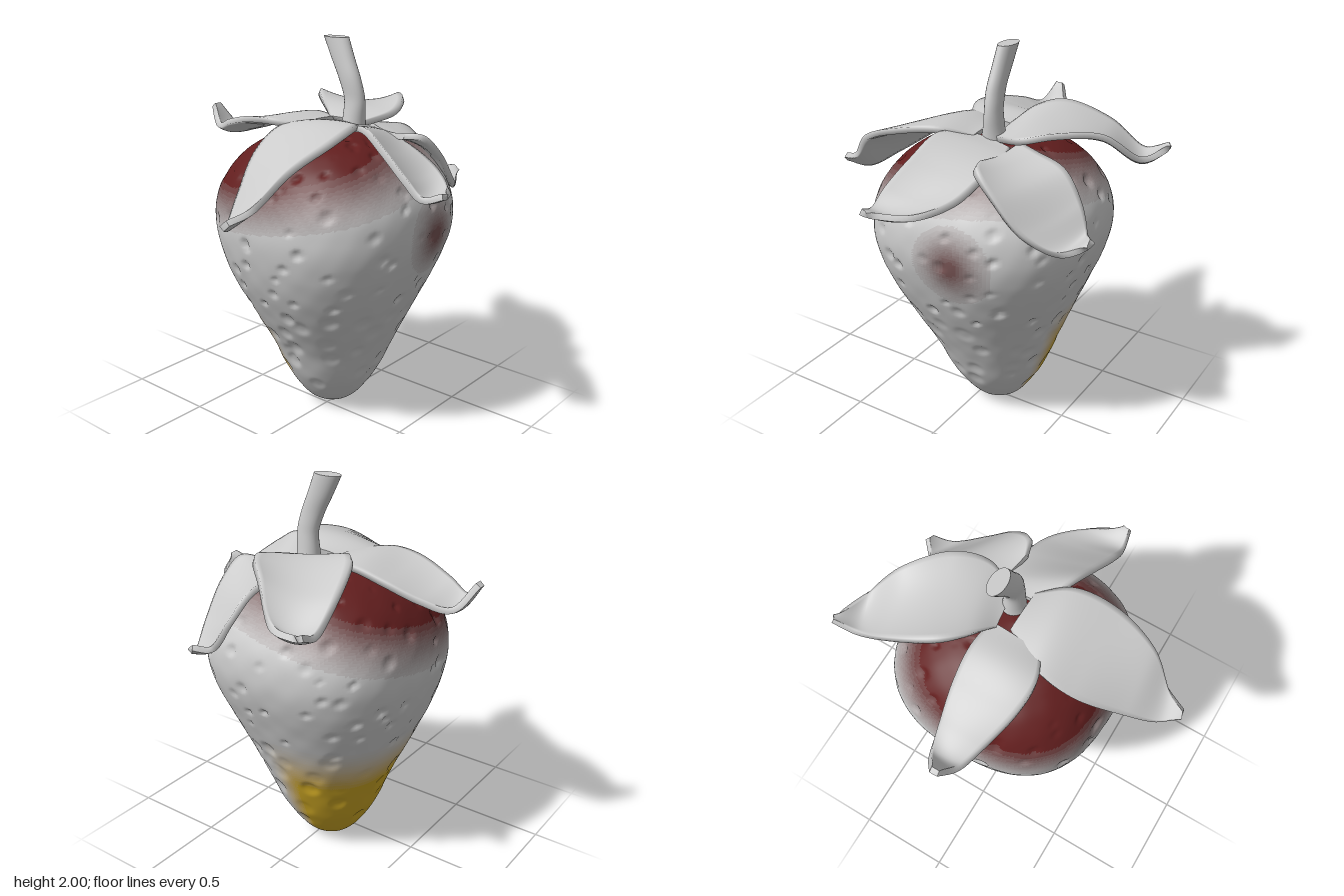
import * as THREE from 'three';

const V = (x, y, z) => new THREE.Vector3(x, y, z);
const curve = (pts) => new THREE.CatmullRomCurve3(pts);
const { smoothstep } = THREE.MathUtils;

const GREY = new THREE.Color(0xcccccc);
const RED = new THREE.Color(0x621e1e);
const YELLOW = new THREE.Color(0xcca624);
const PALE = new THREE.Color(0xffffff);

function makeMesh(name, geometry, color) {
  const mesh = new THREE.Mesh(geometry, new THREE.MeshStandardMaterial({ color }));
  mesh.name = name;
  return mesh;
}

// Closed smooth skin over rings of equal point count, with fan caps at both ends
function skin(rings) {
  const n = rings[0].length, pos = [], idx = [];
  rings.forEach((r) => r.forEach((p) => pos.push(p.x, p.y, p.z)));
  for (let i = 0; i < rings.length - 1; i++) {
    for (let j = 0; j < n; j++) {
      const k = (j + 1) % n;
      const a = i * n + j, b = i * n + k, c = a + n, d = b + n;
      idx.push(a, c, b, b, c, d);
    }
  }
  // Caps have their own ring of vertices so their rims stay sharp
  [rings[0], rings[rings.length - 1]].forEach((ring, end) => {
    const base = pos.length / 3;
    const centre = ring.reduce((s, p) => s.add(p), V(0, 0, 0)).divideScalar(n);
    [centre, ...ring].forEach((p) => pos.push(p.x, p.y, p.z));
    for (let j = 0; j < n; j++) {
      const a = base + 1 + j, b = base + 1 + ((j + 1) % n);
      idx.push(base, end ? b : a, end ? a : b);
    }
  });
  const g = new THREE.BufferGeometry();
  g.setAttribute('position', new THREE.Float32BufferAttribute(pos, 3));
  g.setIndex(idx);
  g.computeVertexNormals();
  return g;
}

// Horizontal ellipse ring; square widens it on the diagonals
function ring(cx, y, cz, rx, rz, n, square = 0) {
  return Array.from({ length: n }, (_, j) => {
    const a = (j / n) * Math.PI * 2, f = 1 + square * Math.sin(2 * a) ** 2;
    return V(cx + rx * f * Math.cos(a), y, cz + rz * f * Math.sin(a));
  });
}

function seeded(seed) {
  return () => {
    seed = (seed * 16807) % 2147483647;
    return seed / 2147483647;
  };
}

// Fruit surface: profile points are radius, height, centre x
function fruitSurface() {
  const profile = curve([
    V(0.004, 0, 0.085), V(0.07, 0.012, 0.083), V(0.135, 0.05, 0.08), V(0.242, 0.2, 0.078),
    V(0.327, 0.4, 0.075), V(0.417, 0.6, 0.057), V(0.503, 0.8, 0.05), V(0.565, 1.0, 0.058),
    V(0.577, 1.12, 0.062), V(0.553, 1.25, 0.062), V(0.455, 1.4, 0.06), V(0.325, 1.495, 0.06),
    V(0.18, 1.54, 0.06), V(0.004, 1.555, 0.06),
  ]);
  const rings = [];
  for (let i = 0; i <= 170; i++) {
    const p = profile.getPointAt(i / 170);
    const cz = -0.03 * Math.max(0, 1 - p.y);
    rings.push(ring(p.z, p.y, cz, p.x, p.x, 200, 0.075 * Math.min(1, p.y / 0.9)));
  }
  // Seed pits on a golden-angle spiral: small and sharp above, wide and soft below
  const rand = seeded(71), pits = [];
  for (let i = 0; i < 210; i++) {
    const p = profile.getPointAt(0.12 + 0.8 * Math.pow((i + 0.5) / 210, 0.7));
    const a = i * 2.39996 + rand() * 0.6, f = 1 + 0.06 * Math.sin(2 * a) ** 2;
    const low = p.y < 0.7;
    pits.push({
      at: V(p.z + p.x * f * Math.cos(a), p.y + (rand() - 0.5) * 0.08, p.x * f * Math.sin(a)),
      size: (low ? 0.035 : 0.015) + rand() * 0.016,
      depth: (low ? 0.005 : 0.008) + rand() * 0.009,
    });
  }
  rings.forEach((r) => r.forEach((p) => {
    let push = 0.0015 * Math.sin(p.x * 37) * Math.sin(p.y * 29) * Math.sin(p.z * 33 + 1);
    for (const pit of pits) {
      const q = p.distanceToSquared(pit.at) / (pit.size * pit.size);
      if (q < 6) push -= pit.depth * Math.exp(-q * q);
    }
    const out = V(p.x - 0.06, (p.y - 0.95) * 0.4, p.z).normalize();
    p.addScaledVector(out, push * Math.min(1, p.y * 8));
  }));
  return skin(rings);
}

// Ripeness at a point: red shoulders lower at the back, a red spot in front, yellow lower back
function ripeness(p) {
  const dx = p.x - 0.06, dz = p.z + 0.02, r = Math.hypot(dx, dz) + 0.001;
  const shoulder = 1.29 + (0.09 * (dx + dz)) / r;
  const spot = 0.9 * Math.exp(-((p.distanceTo(V(0.17, 1.07, 0.57)) / 0.16) ** 2));
  const red = Math.max(spot, smoothstep(p.y, shoulder - 0.17, shoulder + 0.16));
  const yellow = smoothstep((0.35 * dx - dz) / r, -0.05, 0.5) * (1 - smoothstep(p.y, 0.42, 0.76));
  return [red, yellow * smoothstep(p.y, -0.04, 0.06)];
}

// Fruit: faces sorted into patches by stepped shades, one plain material each
function makeFruit() {
  const whole = fruitSurface(), pos = whole.attributes.position, index = whole.index.array;
  const patches = new Map(), steps = 16, c = V(), q = V();
  for (let i = 0; i < index.length; i += 3) {
    const face = [...index.slice(i, i + 3)];
    c.set(0, 0, 0);
    face.forEach((v) => c.addScaledVector(q.fromBufferAttribute(pos, v), 1 / 3));
    const key = ripeness(c).map((v) => Math.round(v * steps)).join();
    if (!patches.has(key)) patches.set(key, []);
    patches.get(key).push(...face);
  }
  const fruit = new THREE.Group();
  fruit.name = 'fruit';
  patches.forEach((faces, key) => {
    const [red, yellow] = key.split(',').map((k) => k / steps);
    const g = new THREE.BufferGeometry();
    g.setAttribute('position', pos);
    g.setAttribute('normal', whole.attributes.normal);
    g.setIndex(faces);
    const color = GREY.clone().lerp(YELLOW, yellow).lerp(RED, red);
    fruit.add(makeMesh('fruitSkin', g.toNonIndexed(), color));
  });
  return fruit;
}

// Sepal: each row is left edge xyz, right edge xyz, and the rise of the midline
function makeSepal(name, rows) {
  const left = curve(rows.map((r) => V(r[0], r[1], r[2])));
  const right = curve(rows.map((r) => V(r[3], r[4], r[5])));
  const rise = curve(rows.map((r, i) => V(i, r[6], 0)));
  const across = 16, along = 48, half = 0.015;
  const point = (t, s) => {
    const p = left.getPoint(t).lerp(right.getPoint(t), s);
    p.y += rise.getPoint(t).y * 4 * s * (1 - s);
    return p;
  };
  const normal = (t, s) => {
    const u = point(Math.min(1, t + 0.01), s).sub(point(Math.max(0, t - 0.01), s));
    const w = point(t, Math.max(0, s - 0.03)).sub(point(t, Math.min(1, s + 0.03)));
    return u.cross(w).normalize();
  };
  const rings = [];
  for (let i = 0; i <= along; i++) {
    const t = i / along, top = [], under = [];
    for (let j = 0; j <= across; j++) {
      const s = 1 - j / across, p = point(t, s), n = normal(t, s);
      top.push(p.clone().addScaledVector(n, half));
      under.unshift(p.clone().addScaledVector(n, -half));
    }
    rings.push([...top, ...under]);
  }
  return makeMesh(name, skin(rings), PALE);
}

// Stem: flared at the foot, bending back, cut level at the top
function makeStem() {
  const path = curve([V(0.11, 1.53, 0.08), V(0.11, 1.6, 0.085), V(0.11, 1.7, 0.088),
    V(0.105, 1.8, 0.06), V(0.108, 1.9, 0.012), V(0.113, 2.0, -0.035)]);
  const rings = [];
  for (let i = 0; i <= 24; i++) {
    const t = i / 24, p = path.getPoint(t), flare = 0.025 * Math.max(0, 1 - t * 2.5);
    rings.push(ring(p.x, p.y, p.z, 0.041 + flare, 0.048 + 0.027 * t + flare * 0.6, 24));
  }
  return makeMesh('stem', skin(rings), PALE);
}

export function createModel() {
  const model = new THREE.Group();
  model.name = 'strawberry';
  model.add(makeFruit(), makeStem());
  model.add(makeSepal('backSepal', [
    [-0.13, 1.57, -0.08, 0.15, 1.57, -0.06, 0.01], [-0.19, 1.59, -0.22, 0.165, 1.58, -0.22, 0.01],
    [-0.185, 1.58, -0.38, 0.155, 1.54, -0.38, -0.01], [-0.13, 1.53, -0.58, 0.12, 1.48, -0.56, -0.02],
    [-0.08, 1.49, -0.71, 0.08, 1.46, -0.71, -0.02], [-0.03, 1.58, -0.8, 0.01, 1.58, -0.8, 0],
  ]));
  model.add(makeSepal('backLeftSepal', [
    [0.12, 1.58, -0.08, 0.14, 1.57, 0.12, 0], [0.19, 1.65, -0.2, 0.31, 1.61, 0.19, -0.01],
    [0.29, 1.67, -0.3, 0.47, 1.65, 0.13, -0.04], [0.5, 1.59, -0.38, 0.63, 1.63, -0.03, -0.04],
    [0.69, 1.47, -0.4, 0.76, 1.49, -0.2, -0.03], [0.815, 1.51, -0.42, 0.825, 1.5, -0.395, 0],
  ]));
  model.add(makeSepal('rightSepal', [
    [0.04, 1.57, 0.17, 0.05, 1.57, -0.05, 0.01], [-0.11, 1.61, 0.27, -0.16, 1.565, -0.16, 0.02],
    [-0.33, 1.57, 0.3, -0.34, 1.475, -0.16, 0.02], [-0.55, 1.48, 0.255, -0.58, 1.31, -0.055, 0.02],
    [-0.71, 1.32, 0.165, -0.73, 1.22, 0.025, 0], [-0.82, 1.28, 0.12, -0.83, 1.25, 0.09, 0],
  ]));
  model.add(makeSepal('frontLeftSepal', [
    [0.25, 1.55, 0.07, 0.19, 1.53, 0.34, -0.02], [0.36, 1.53, 0.09, 0.225, 1.53, 0.43, -0.03],
    [0.52, 1.49, 0.115, 0.33, 1.43, 0.46, -0.02], [0.63, 1.37, 0.155, 0.48, 1.27, 0.44, -0.02],
    [0.7, 1.25, 0.21, 0.63, 1.19, 0.37, -0.01], [0.76, 1.26, 0.28, 0.75, 1.23, 0.31, 0],
  ]));
  model.add(makeSepal('frontSepal', [
    [0.22, 1.53, 0.12, -0.02, 1.57, 0.14, 0.01], [0.245, 1.51, 0.2, -0.085, 1.6, 0.3, 0],
    [0.225, 1.46, 0.38, -0.125, 1.52, 0.45, -0.02], [0.185, 1.4, 0.54, -0.16, 1.42, 0.6, -0.03],
    [0.07, 1.36, 0.69, -0.165, 1.35, 0.7, -0.02], [-0.11, 1.37, 0.8, -0.145, 1.38, 0.8, 0],
  ]));
  return model;
}
